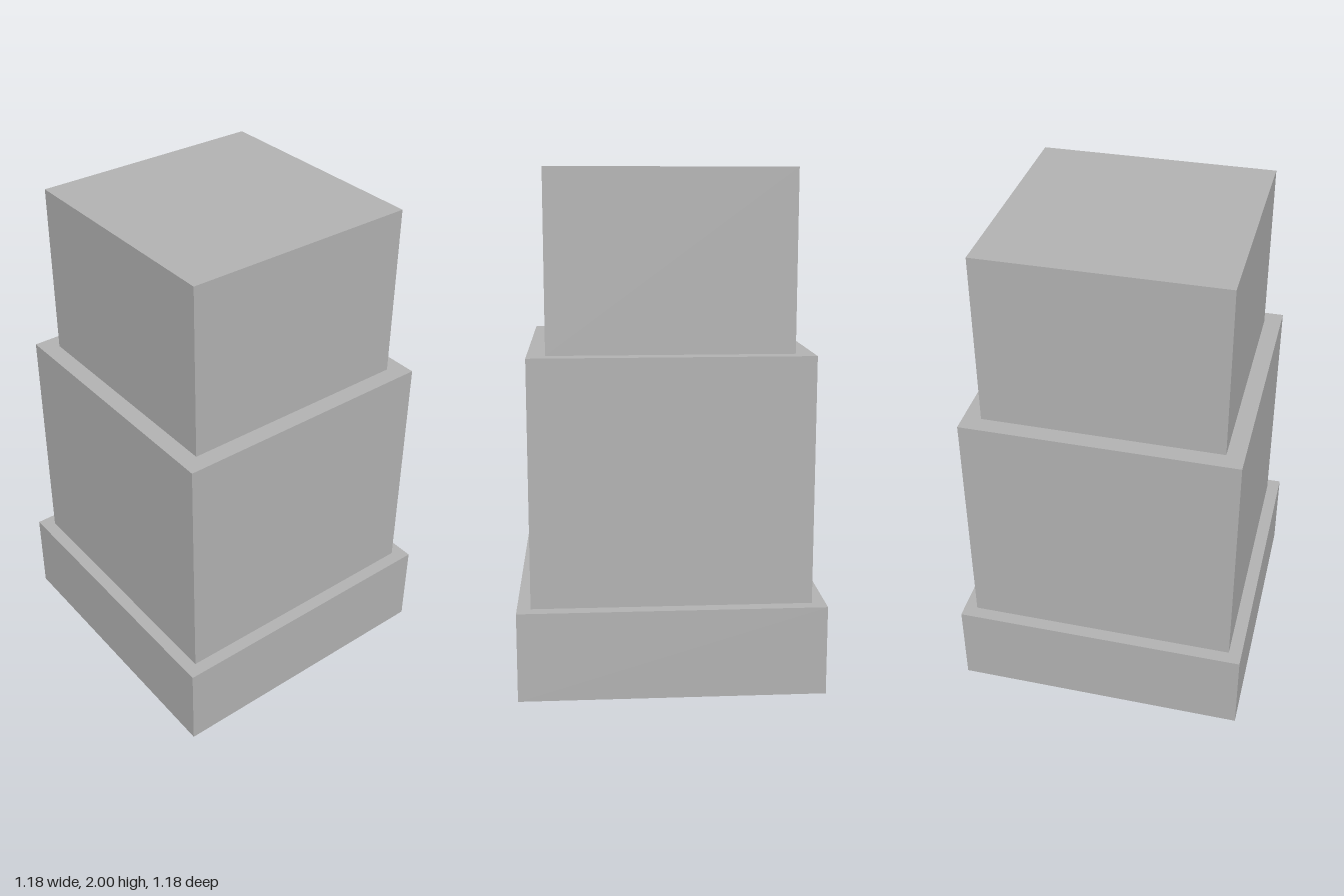
import * as THREE from 'three';

export function createModel() {
  const group = new THREE.Group();
  const stone = new THREE.MeshStandardMaterial({ color: 0xb2b2b2 });
  stone.name = 'grey stone';

  // Square tiers stacked from the ground up: name, width, bottom, top
  const tiers = [
    ['baseTier', 1.185, 0, 0.35],
    ['middleTier', 1.08, 0.35, 1.31],
    ['topTier', 0.94, 1.31, 2],
  ];
  for (const [name, width, bottom, top] of tiers) {
    const tier = new THREE.Mesh(new THREE.BoxGeometry(width, top - bottom, width), stone);
    tier.name = name;
    tier.position.y = (bottom + top) / 2;
    group.add(tier);
  }
  return group;
}
